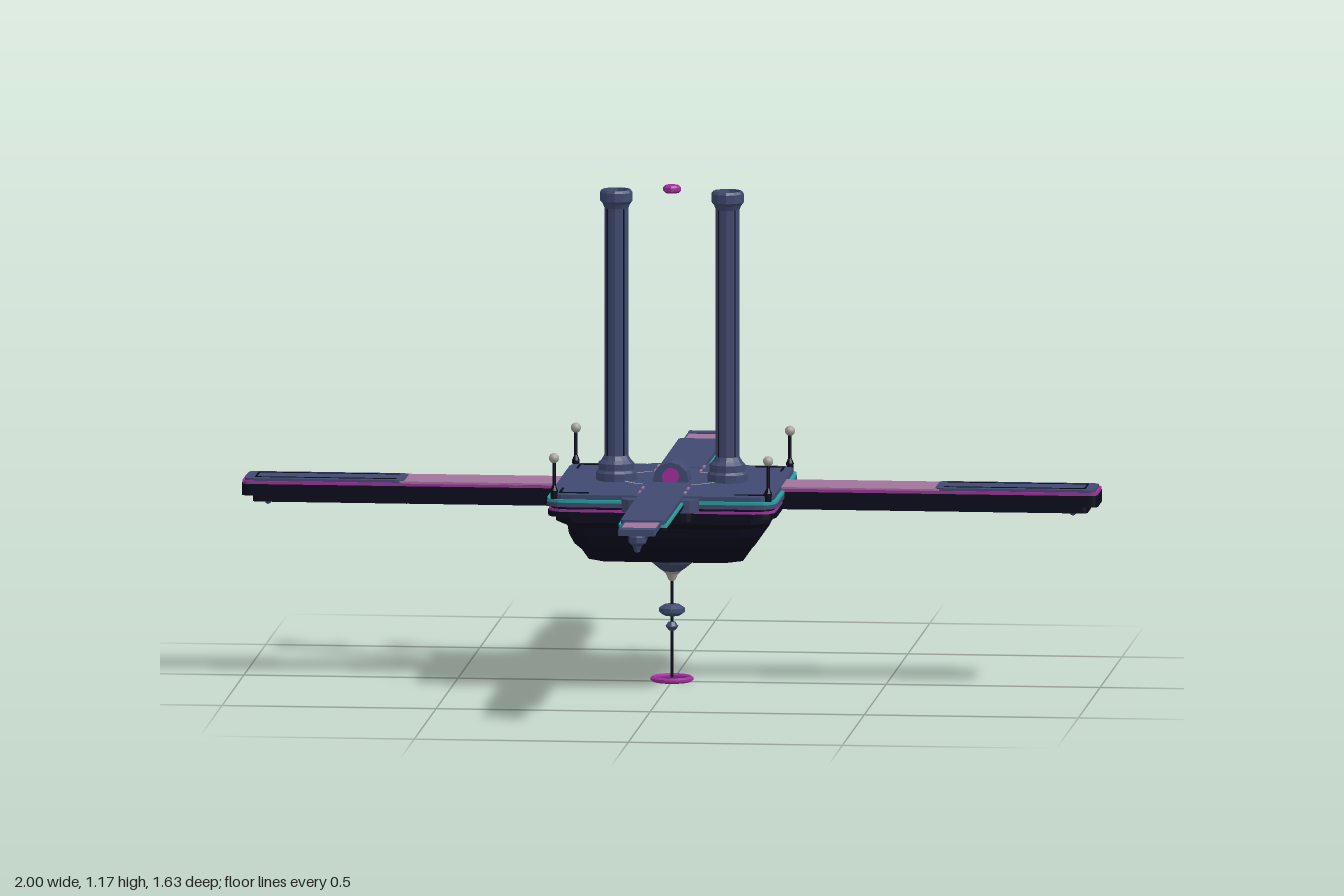
import * as THREE from 'three';

const mat = (name, color) => Object.assign(new THREE.MeshStandardMaterial({ color }), { name });

export function createModel() {
  const model = new THREE.Group();
  model.name = 'floatingStation';
  const navy = mat('navy', 0x414a70), dark = mat('dark hull', 0x0a0b1b), mauve = mat('mauve', 0xa0749c);
  const teal = mat('teal', 0x22a29f), magenta = mat('magenta', 0xa02f9c), pale = mat('pale grey', 0xa6a69c);

  const add = (name, geo, material, x = 0, y = 0, z = 0, parent = model) => {
    const mesh = new THREE.Mesh(geo, material);
    mesh.name = name;
    mesh.position.set(x, y, z);
    parent.add(mesh);
    return mesh;
  };
  const flat = (geo) => {
    const g = geo.index ? geo.toNonIndexed() : geo;
    g.computeVertexNormals();
    return g;
  };
  const lathe = (pts, sides = 12) => flat(new THREE.LatheGeometry(pts.map(p => new THREE.Vector2(...p)), sides));
  const box = (w, h, d) => new THREE.BoxGeometry(w, h, d);

  // Horizontal slab with rounded corners, between two x and two z limits
  const slab = (x0, x1, z0, z1, r, y0, y1) => {
    const s = new THREE.Shape();
    s.moveTo(x0 + r, z0);
    s.lineTo(x1 - r, z0); s.quadraticCurveTo(x1, z0, x1, z0 + r);
    s.lineTo(x1, z1 - r); s.quadraticCurveTo(x1, z1, x1 - r, z1);
    s.lineTo(x0 + r, z1); s.quadraticCurveTo(x0, z1, x0, z1 - r);
    s.lineTo(x0, z0 + r); s.quadraticCurveTo(x0, z0, x0 + r, z0);
    const g = new THREE.ExtrudeGeometry(s, { depth: y1 - y0, bevelEnabled: false, curveSegments: 4 });
    return g.rotateX(-Math.PI / 2).translate(0, y0, 0);
  };

  // Square-plan turning: an eight-sided lathe pushed out to a chamfered square
  const squareLathe = (pts, chamfer) => {
    const g = new THREE.LatheGeometry(pts.map(p => new THREE.Vector2(...p)), 8, Math.PI / 8);
    const p = g.attributes.position;
    for (let i = 0; i < p.count; i++) {
      const x = p.getX(i), z = p.getZ(i), h = Math.hypot(x, z);
      if (h < 1e-4) continue;
      const minor = Math.max(h - chamfer, 0);
      const big = Math.abs(x) > Math.abs(z);
      p.setX(i, Math.sign(x) * (big ? h : minor));
      p.setZ(i, Math.sign(z) * (big ? minor : h));
    }
    return flat(g);
  };

  // Stepped hull
  add('hull', squareLathe([[0, 0.305], [0.18, 0.305], [0.195, 0.33], [0.21, 0.345], [0.222, 0.37],
    [0.225, 0.39], [0.25, 0.405], [0.25, 0.43], [0, 0.43]], 0.04), dark);

  // Deck layers, each trim lying on a ledge that hides it from below
  const deck = (name, h, y0, y1, m) => add(name, slab(-h, h, -h, h, 0.05, y0, y1), m);
  deck('deckBase', 0.267, 0.42, 0.432, dark);
  deck('lowerTrim', 0.265, 0.431, 0.438, magenta);
  deck('deckCore', 0.262, 0.437, 0.445, dark);
  deck('upperLedge', 0.27, 0.444, 0.454, navy);
  deck('upperTrim', 0.269, 0.453, 0.461, teal);
  deck('deck', 0.261, 0.46, 0.472, navy);

  // Deck markings: arcs on the diagonals, dashes and corner angles
  for (let i = 0; i < 4; i++) {
    const a = i * Math.PI / 2 + Math.PI / 4;
    const arc = new THREE.RingGeometry(0.115, 0.122, 8, 1, a - 0.3, 0.6).rotateX(-Math.PI / 2);
    add('deckArc', arc, pale, 0, 0.477, 0);
    const sx = i % 2 ? 1 : -1, sz = i < 2 ? 1 : -1;
    for (const z of [0.145, 0.215]) add('deckDash', box(0.005, 0.004, 0.028), mauve, sx * 0.053, 0.474, sz * z);
    add('cornerLine', box(0.07, 0.003, 0.004), dark, sx * 0.205, 0.473, sz * 0.232);
    add('cornerLine', box(0.004, 0.003, 0.07), dark, sx * 0.238, 0.473, sz * 0.199);
  }

  // Hanging pod, its top at y = 0
  const podGeo = lathe([[0, -0.045], [0.006, -0.042], [0.011, -0.028], [0.02, -0.02], [0.02, -0.006], [0.014, 0], [0, 0]], 8);

  // Long side arms
  for (const s of [1, -1]) {
    const arm = new THREE.Group();
    arm.name = s > 0 ? 'leftArm' : 'rightArm';
    if (s < 0) arm.rotation.y = Math.PI;
    model.add(arm);
    add('armKeel', slab(0.2, 0.975, -0.05, 0.05, 0.015, 0.415, 0.432), dark, 0, 0, 0, arm);
    add('armBody', slab(0.2, 1, -0.065, 0.065, 0.02, 0.431, 0.458), dark, 0, 0, 0, arm);
    add('armTrim', slab(0.2, 0.999, -0.064, 0.064, 0.02, 0.457, 0.465), magenta, 0, 0, 0, arm);
    add('armPanel', slab(0.25, 0.63, -0.064, 0.064, 0.002, 0.464, 0.469), mauve, 0, 0, 0, arm);
    add('armEndPlate', slab(0.62, 0.993, -0.059, 0.059, 0.017, 0.464, 0.471), navy, 0, 0, 0, arm);
    for (const z of [-1, 1]) {
      add('armGroove', box(0.33, 0.003, 0.004), dark, 0.805, 0.471, z * 0.038, arm);
      add('armFoot', podGeo, navy, 0.94, 0.452, z * 0.032, arm);
    }
    add('armGroove', box(0.004, 0.003, 0.076), dark, 0.968, 0.471, 0, arm);
    add('armFoot', podGeo, navy, 0.62, 0.452, 0, arm);
  }

  // Thin front and back arms with shoulder joints
  for (const s of [1, -1]) {
    const arm = new THREE.Group();
    arm.name = s > 0 ? 'frontArm' : 'backArm';
    if (s < 0) arm.rotation.y = Math.PI;
    model.add(arm);
    const strip = (name, h, z0, z1, r, y0, y1, m) =>
      add(name, slab(-h, h, -z1, -z0, r, y0, y1), m, 0, 0, 0, arm);
    strip('shoulder', 0.09, 0.2, 0.305, 0.035, 0.438, 0.468, navy);
    strip('shoulderBase', 0.08, 0.2, 0.285, 0.03, 0.415, 0.438, dark);
    strip('armUnderside', 0.058, 0.25, 0.677, 0.01, 0.451, 0.457, dark);
    strip('armTrim', 0.057, 0.25, 0.676, 0.01, 0.456, 0.464, teal);
    strip('armPlate', 0.052, 0.2, 0.672, 0.01, 0.463, 0.474, navy);
    strip('tipPanel', 0.041, 0.66, 0.785, 0.002, 0.461, 0.469, mauve);
    for (const x of [-0.042, 0.042]) add('tipRail', box(0.003, 0.01, 0.13), navy, x, 0.465, 0.725, arm);
    strip('tipPlate', 0.043, 0.78, 0.815, 0.002, 0.457, 0.472, navy);
    add('rootPod', podGeo, navy, 0, 0.445, 0.26, arm);
    for (const z of [0.435, 0.66, 0.797]) add('armPod', podGeo, navy, 0, 0.46, z, arm);
  }

  // Twin towers with stepped collars, recessed caps and dark corner ribs
  const tower = lathe([[0.047, 0.47], [0.047, 0.49], [0.042, 0.496], [0.042, 0.512], [0.034, 0.52], [0.028, 0.53],
    [0.028, 1.11], [0.032, 1.12], [0.038, 1.127], [0.038, 1.147], [0.034, 1.153], [0.03, 1.153], [0.028, 1.135]]);
  for (const x of [-0.13, 0.13]) {
    add('tower', tower, navy, x);
    add('towerWell', new THREE.CylinderGeometry(0.029, 0.029, 0.004, 12), dark, x, 1.135);
    add('towerPlug', new THREE.CylinderGeometry(0.018, 0.018, 0.012, 12), navy, x, 1.14);
    for (const sx of [-1, 1]) for (const sz of [-1, 1])
      add('towerRib', box(0.004, 0.58, 0.004), dark, x + sx * 0.0185, 0.82, sz * 0.0185);
  }

  // Central drum with coloured ends, and the beacon floating above it
  add('drum', flat(new THREE.CylinderGeometry(0.042, 0.042, 0.064, 12).rotateX(Math.PI / 2)), navy, 0, 0.476);
  for (const s of [1, -1])
    add('drumLight', new THREE.CylinderGeometry(0.02, 0.02, 0.006, 12).rotateX(Math.PI / 2), magenta, 0, 0.485, s * 0.034);
  add('beacon', lathe([[0, -0.01], [0.016, -0.009], [0.021, -0.004], [0.021, 0.004], [0.016, 0.009], [0, 0.01]], 8),
    magenta, 0, 1.156);

  // Corner masts with ball tips
  for (const x of [-0.25, 0.25]) for (const z of [-0.25, 0.25]) {
    add('mast', lathe([[0, 0.45], [0.007, 0.45], [0.009, 0.48], [0.004, 0.492], [0.004, 0.555]], 8), dark, x, 0, z);
    add('mastBall', new THREE.SphereGeometry(0.012, 10, 8), pale, x, 0.556, z);
  }

  // Hanging finial, rod, beads and ring
  add('finial', lathe([[0.02, 0.259], [0.03, 0.265], [0.048, 0.28], [0.053, 0.292], [0.053, 0.307]]), navy);
  add('finialTip', lathe([[0, 0.235], [0.008, 0.238], [0.014, 0.252], [0.022, 0.26]]), pale);
  add('rod', new THREE.CylinderGeometry(0.004, 0.004, 0.24, 8), dark, 0, 0.13);
  add('largeBead', lathe([[0, -0.014], [0.018, -0.013], [0.03, -0.005], [0.03, 0.005], [0.018, 0.013], [0, 0.014]]), navy, 0, 0.168);
  add('smallBead', lathe([[0, -0.012], [0.008, -0.01], [0.015, 0], [0.008, 0.01], [0, 0.012]], 8), navy, 0, 0.13);
  add('ring', lathe([[0.038, 0.004], [0.044, 0], [0.05, 0.004], [0.05, 0.009], [0.044, 0.013], [0.038, 0.009], [0.038, 0.004]], 24), magenta);
  return model;
}
